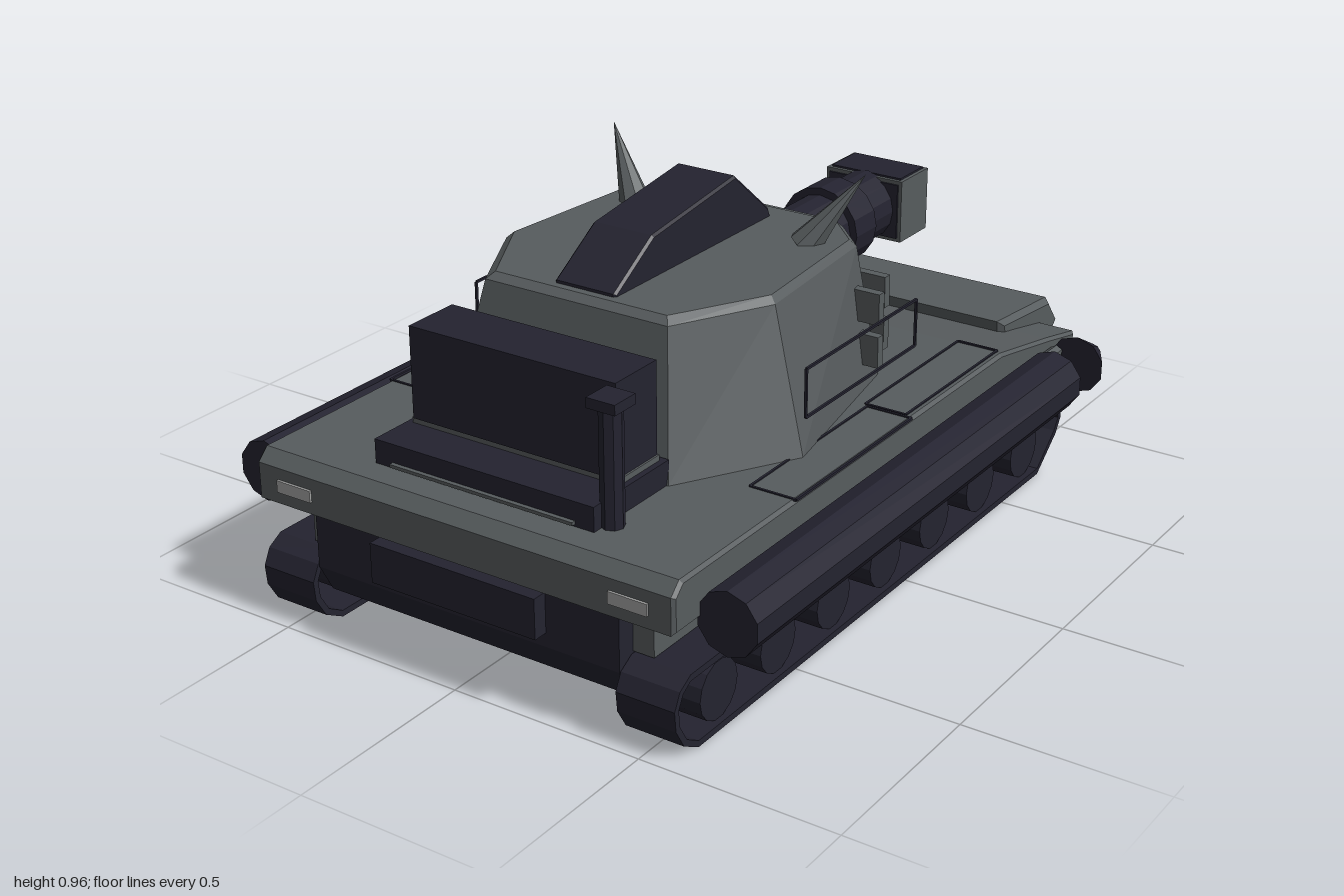
import * as THREE from 'three';

const mat = (name, color, opts = {}) => {
  const m = new THREE.MeshStandardMaterial({ color, flatShading: true, ...opts });
  m.name = name;
  return m;
};

export function createModel() {
  const grey = mat('armour grey', 0x575c5e);
  const dark = mat('dark steel', 0x242330);
  const light = mat('lamp grey', 0xa2a3a2);
  const root = new THREE.Group();
  root.name = 'tank';

  const add = (name, geo, m, x = 0, y = 0, z = 0) => {
    const mesh = new THREE.Mesh(geo, m);
    mesh.name = name;
    mesh.position.set(x, y, z);
    root.add(mesh);
    return mesh;
  };
  const box = (name, m, w, h, d, x, y, z) => add(name, new THREE.BoxGeometry(w, h, d), m, x, y, z);
  const rod = (name, m, r0, r1, len, sides, x, y, z) => { // cylinder along z, r0 at the +z end
    const g = new THREE.CylinderGeometry(r0, r1, len, sides);
    return add(name, g.rotateX(Math.PI / 2), m, x, y, z);
  };
  const vecs = pts => pts.map(p => new THREE.Vector2(p[0], p[1]));
  // side profile of [z, y] points, extruded across x
  const slab = (name, m, pts, width, x = 0, bevel = 0, hole = null) => {
    const shape = new THREE.Shape(vecs(pts));
    if (hole) shape.holes.push(new THREE.Path(vecs(hole)));
    const depth = width - 2 * bevel;
    const g = new THREE.ExtrudeGeometry(shape, {
      depth, bevelEnabled: bevel > 0, bevelSize: bevel, bevelThickness: bevel,
      bevelOffset: -bevel, bevelSegments: 1
    });
    return add(name, g.translate(0, 0, -depth / 2).rotateY(-Math.PI / 2), m, x);
  };
  // stacked rings: each ring is a list of [x, z], at height y
  const loft = (rings, ys) => {
    const n = rings[0].length, pos = [], idx = [];
    rings.forEach((r, k) => r.forEach(([x, z]) => pos.push(x, ys[k], z)));
    for (let k = 0; k < rings.length - 1; k++)
      for (let i = 0; i < n; i++) {
        const a = k * n + i, b = k * n + (i + 1) % n;
        idx.push(a, b, b + n, a, b + n, a + n);
      }
    const top = (rings.length - 1) * n;
    for (let i = 1; i < n - 1; i++) idx.push(top, top + i, top + i + 1);
    const g = new THREE.BufferGeometry();
    g.setAttribute('position', new THREE.Float32BufferAttribute(pos, 3));
    g.setIndex(idx);
    const flat = g.toNonIndexed();
    flat.computeVertexNormals();
    return flat;
  };
  // rectangular outline of four thin bars lying flat, w across x and d along z
  const frame = (name, w, d, x, y, z, upright = false) => {
    const f = new THREE.Group();
    f.name = name;
    const t = 0.006;
    for (const s of [-1, 1]) {
      const a = new THREE.Mesh(new THREE.BoxGeometry(w, t, t), dark);
      a.position.z = s * d / 2;
      const b = new THREE.Mesh(new THREE.BoxGeometry(t, t, d), dark);
      b.position.x = s * w / 2;
      f.add(a, b);
    }
    if (upright) f.rotation.z = Math.PI / 2;
    f.position.set(x, y, z);
    root.add(f);
  };

  // hull
  slab('upperHull', grey, [[0.98, 0.70], [0.98, 0.79], [0.95, 0.82], [-0.46, 0.82],
    [-0.72, 0.77], [-0.88, 0.735], [-0.86, 0.66], [-0.78, 0.64], [-0.70, 0.70]], 1.16, 0, 0.008);
  slab('lowerHull', dark, [[0.96, 0.70], [0.96, 0.555], [0.92, 0.48], [-0.67, 0.48],
    [-0.76, 0.60], [-0.80, 0.70]], 0.85);
  slab('nosePlate', grey, [[-0.66, 0.81], [-0.94, 0.785], [-1.0, 0.71], [-0.87, 0.58], [-0.70, 0.62]], 0.95, 0, 0.015);
  const slit = box('noseSlit', light, 0.58, 0.006, 0.006, 0, 0.743, -0.974);
  slit.rotation.x = -0.9;
  box('rearPanel', dark, 0.46, 0.1, 0.04, 0, 0.64, 0.978);

  // running gear
  const track = [[0.89, 0.39], [0.945, 0.42], [0.975, 0.47], [0.98, 0.52], [0.96, 0.56], [0.92, 0.583],
    [-0.76, 0.583], [-0.81, 0.56], [-0.825, 0.51], [-0.80, 0.47], [-0.70, 0.39]];
  const inner = track.map((p, i) => {
    const a = track[(i + track.length - 1) % track.length], b = track[(i + 1) % track.length];
    const dx = b[0] - a[0], dy = b[1] - a[1], l = Math.hypot(dx, dy);
    return [p[0] - dy / l * 0.016, p[1] + dx / l * 0.016];
  });
  for (const s of [-1, 1]) {
    slab('track', dark, track, 0.152, s * 0.504, 0, inner);
    for (let i = 0; i < 7; i++) {
      const wheel = add('roadWheel', new THREE.CylinderGeometry(0.073, 0.073, 0.13, 14), dark, s * 0.5, 0.478, 0.79 - i * 0.2385);
      wheel.rotation.z = Math.PI / 2;
    }
    box('trackGuard', grey, 0.06, 0.12, 1.62, s * 0.45, 0.645, 0.1);
    for (let i = 0; i < 6; i++) box('skirtBracket', grey, 0.012, 0.13, 0.012, s * 0.588, 0.645, 0.765 - i * 0.255);
    // side tubes with pointed ends
    rod('sideTube', dark, 0.078, 0.078, 1.505, 10, s * 0.648, 0.708, 0.1325);
    rod('tubeLink', grey, 0.018, 0.018, 0.12, 6, s * 0.6, 0.735, -0.67);
    rod('tubeTip', dark, 0.076, 0.022, 0.1, 10, s * 0.655, 0.71, -0.785);
    // fittings
    box('rearLamp', light, 0.1, 0.03, 0.008, s * 0.465, 0.746, 0.982);
    rod('towHook', grey, 0.022, 0.022, 0.05, 8, s * 0.28, 0.655, -0.945);
    frame('deckFrame', 0.11, 0.46, s * 0.505, 0.82, -0.24);
    frame('deckFrame', 0.12, 0.51, s * 0.52, 0.82, 0.255);
    frame('sideFrame', 0.12, 0.5, s * 0.473, 0.97, 0.05, true);
  }

  // turret
  const ring = half => [...half, ...half.map(([x, z]) => [-x, z]).reverse()];
  add('turret', loft([
    ring([[0.31, 0.61], [0.48, 0.32], [0.385, -0.18], [0.26, -0.31]]),
    ring([[0.255, 0.53], [0.382, 0.29], [0.345, -0.13], [0.25, -0.225]]),
    ring([[0.24, 0.51], [0.365, 0.28], [0.33, -0.12], [0.24, -0.21]])
  ], [0.82, 1.162, 1.178]), grey);
  slab('roofFin', dark, [[0.49, 1.17], [0.49, 1.185], [0.34, 1.28], [0, 1.325], [-0.15, 1.2], [-0.16, 1.17]], 0.17, 0, 0.006);
  for (const s of [-1, 1]) {
    const base = new THREE.Vector3(s * 0.245, 1.165, -0.055), tip = new THREE.Vector3(s * 0.365, 1.345, -0.13);
    const dir = tip.clone().sub(base);
    const horn = add('horn', new THREE.ConeGeometry(0.042, dir.length(), 8), grey);
    horn.position.copy(base).add(tip).multiplyScalar(0.5);
    horn.quaternion.setFromUnitVectors(new THREE.Vector3(0, 1, 0), dir.normalize());
    for (const y of [0.92, 1.03]) {
      box('cheekBlock', grey, 0.1, 0.08, 0.024, s * 0.385, y, -0.1);
      box('cheekBlock', grey, 0.1, 0.08, 0.024, s * 0.34, y, -0.205);
    }
  }

  // gun
  box('mantlet', grey, 0.3, 0.24, 0.15, 0, 1.01, -0.255);
  rod('barrel', dark, 0.093, 0.093, 0.46, 16, 0, 1.01, -0.54);
  rod('barrelBand', dark, 0.113, 0.113, 0.1, 16, 0, 1.01, -0.58);
  box('muzzleBlock', grey, 0.23, 0.17, 0.14, 0, 1.01, -0.825);
  box('muzzleTop', dark, 0.21, 0.008, 0.12, 0, 1.096, -0.825);
  box('muzzleBack', dark, 0.21, 0.15, 0.008, 0, 1.01, -0.754);
  add('muzzleRing', new THREE.RingGeometry(0.05, 0.068, 20).rotateY(Math.PI), light, 0, 1.01, -0.899);
  add('bore', new THREE.CircleGeometry(0.05, 20).rotateY(Math.PI), dark, 0, 1.01, -0.898);

  // rear stowage and exhaust
  box('stowageStep', dark, 0.61, 0.06, 0.28, 0, 0.85, 0.74);
  box('stowageBase', grey, 0.58, 0.014, 0.15, 0, 0.887, 0.69);
  box('stowageBox', dark, 0.57, 0.228, 0.152, 0, 1.007, 0.692);
  box('stowageLip', grey, 0.51, 0.008, 0.012, 0, 0.83, 0.885);
  add('exhaustPipe', new THREE.CylinderGeometry(0.028, 0.028, 0.3, 8), dark, 0.318, 0.965, 0.83);
  box('exhaustCap', dark, 0.075, 0.025, 0.075, 0.318, 1.113, 0.83);
  return root;
}
